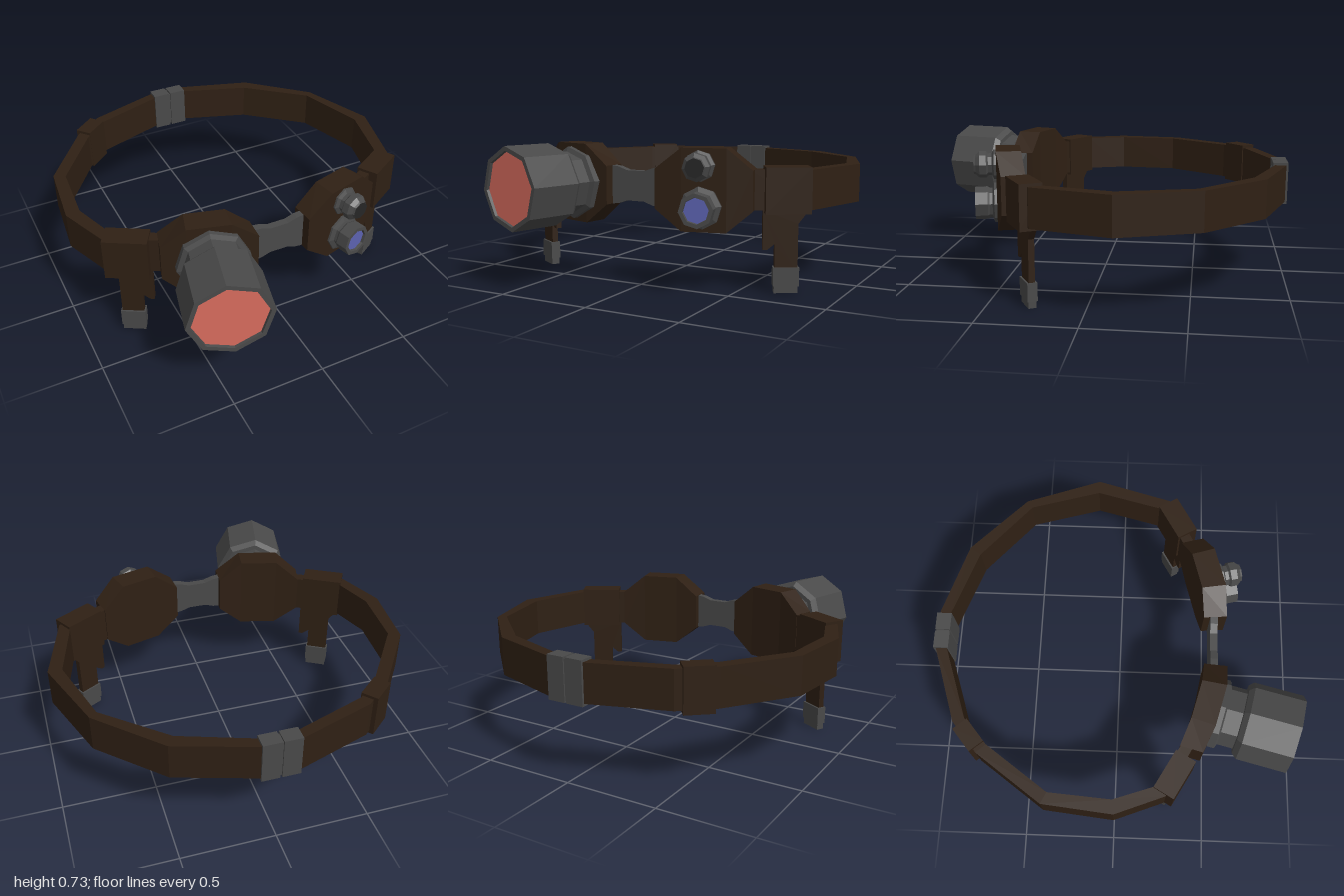
import * as THREE from 'three';

const mat = (color) => new THREE.MeshStandardMaterial({ color, flatShading: true });
const MID = 0.52; // height of the strap's centre line

function add(parent, name, geometry, material, x = 0, y = 0, z = 0) {
  const mesh = new THREE.Mesh(geometry, material);
  mesh.name = name;
  mesh.position.set(x, y, z);
  parent.add(mesh);
  return mesh;
}

// Rectangular sections [frontX, frontZ, backX, backZ, halfHeight], ordered towards +x
function loft(stations) {
  const rings = stations.map(([fx, fz, bx, bz, h]) => [
    [fx, h, fz], [bx, h, bz], [bx, -h, bz], [fx, -h, fz]]);
  const pos = [];
  const quad = (a, b, c, d) => [a, b, c, a, c, d].forEach((p) => pos.push(...p));
  for (let i = 0; i < rings.length - 1; i++) {
    for (let j = 0; j < 4; j++) {
      const k = (j + 1) % 4;
      quad(rings[i][j], rings[i + 1][j], rings[i + 1][k], rings[i][k]);
    }
  }
  quad(...rings[0]);
  const e = rings[rings.length - 1];
  quad(e[0], e[3], e[2], e[1]);
  const g = new THREE.BufferGeometry();
  g.setAttribute('position', new THREE.Float32BufferAttribute(pos, 3));
  g.computeVertexNormals();
  return g;
}

// Eight-sided turned part whose axis points along +z
function turned(profile, phi = 0) {
  const pts = profile.map(([r, d]) => new THREE.Vector2(r, d));
  return new THREE.LatheGeometry(pts, 8, phi).rotateX(Math.PI / 2);
}

const polygon = (pts) => new THREE.Shape(pts.map(([x, y]) => new THREE.Vector2(x, y)));

export function createModel() {
  const root = new THREE.Group();
  root.name = 'headband';
  const leather = mat(0x2f2014), metal = mat(0x494949), dark = mat(0x262626);
  const red = mat(0xd96c5e), blue = mat(0x5c62b0);

  // Faceted strap, open at the front
  const outer = [[-0.59, 0.405], [-0.86, 0.26], [-0.96, 0], [-0.92, -0.37], [-0.67, -0.72],
    [-0.51, -0.855], [-0.1, -0.99], [0.09, -0.99], [0.5, -0.86], [0.81, -0.56],
    [0.955, -0.15], [0.84, 0.26], [0.57, 0.405]];
  const inner = [[-0.57, 0.35], [-0.81, 0.21], [-0.885, -0.01], [-0.86, -0.34], [-0.625, -0.67],
    [-0.49, -0.795], [-0.1, -0.93], [0.09, -0.93], [0.46, -0.8], [0.77, -0.53],
    [0.88, -0.15], [0.785, 0.22], [0.55, 0.35]];
  const loop = [...outer, ...inner.reverse()].map(([x, z]) => [x, -z]);
  const strap = new THREE.ExtrudeGeometry(polygon(loop), { depth: 0.2, bevelEnabled: false });
  add(root, 'strap', strap.rotateX(-Math.PI / 2), leather, 0, MID - 0.1, 0);

  // Rear buckle halves and the strap slider
  for (const x of [-0.06, 0.045]) {
    add(root, 'rearBuckle', new THREE.BoxGeometry(0.095, 0.225, 0.08), metal, x, MID, -0.96);
  }
  add(root, 'buckleCore', new THREE.BoxGeometry(0.1, 0.205, 0.065), metal, -0.008, MID, -0.96);
  const slider = add(root, 'strapSlider', new THREE.BoxGeometry(0.15, 0.23, 0.09), leather, -0.582, MID, -0.765);
  slider.rotation.y = 0.7;

  // Front pair: pods, clips and legs mirrored about the bridge
  const front = new THREE.Group();
  front.name = 'frontAssembly';
  front.position.x = -0.012;
  root.add(front);

  add(front, 'bridge', loft([
    [-0.14, 0.53, -0.14, 0.49, 0.1], [-0.1, 0.53, -0.1, 0.49, 0.095], [-0.05, 0.53, -0.05, 0.49, 0.078],
    [0.05, 0.53, 0.05, 0.49, 0.078], [0.1, 0.53, 0.1, 0.49, 0.095], [0.14, 0.53, 0.14, 0.49, 0.1],
  ]), metal, 0, MID, 0);

  const podStations = [
    [0.143, 0.58, 0.133, 0.455, 0.1], [0.283, 0.563, 0.262, 0.435, 0.207],
    [0.5, 0.503, 0.462, 0.38, 0.207], [0.617, 0.45, 0.585, 0.33, 0.1]];
  const legOutline = [[0.112, 0.42], [0.058, 0.35], [0.058, 0.1], [-0.058, 0.1], [-0.058, 0.25],
    [-0.095, 0.22], [-0.118, 0.22], [-0.118, 0.42]];

  for (const s of [1, -1]) {
    const stations = podStations.map(([fx, fz, bx, bz, h]) => [s * fx, fz, s * bx, bz, h]);
    if (s < 0) stations.reverse();
    add(front, s > 0 ? 'leftPod' : 'rightPod', loft(stations), leather, 0, MID, 0);

    const clip = new THREE.Group();
    clip.name = s > 0 ? 'leftClip' : 'rightClip';
    clip.position.set(s * 0.737, 0, 0.305);
    clip.rotation.y = s * Math.PI / 6;
    front.add(clip);
    add(clip, 'clipSleeve', new THREE.BoxGeometry(0.225, 0.23, 0.118), leather, 0, MID, 0);
    const leg = new THREE.ExtrudeGeometry(polygon(legOutline.map(([x, y]) => [s * x, y])),
      { depth: 0.032, bevelEnabled: false });
    add(clip, 'leg', leg, leather, 0, 0, -0.029);
    add(clip, 'footCap', new THREE.BoxGeometry(0.13, 0.095, 0.052), metal, 0, 0.083, -0.013);
    add(clip, 'footTip', new THREE.BoxGeometry(0.12, 0.036, 0.042), metal, 0, 0.018, -0.013);
  }

  // A round housing on a pod with a flat lens in its mouth
  function lamp(name, x, y, z, angle, profile, lens, phi) {
    const g = new THREE.Group();
    g.name = name;
    g.position.set(x, y, z);
    g.rotation.y = angle;
    root.add(g);
    add(g, 'housing', turned(profile, phi), metal);
    const [r, d] = profile[profile.length - 1];
    add(g, 'lens', turned([[r, d], [0, d]], phi), lens);
  }

  // Large lamp on the right pod
  lamp('mainLamp', -0.375, MID, 0.49, -0.244, [
    [0, 0], [0.19, 0], [0.19, 0.075], [0.165, 0.085], [0.165, 0.17], [0.19, 0.172],
    [0.214, 0.2], [0.214, 0.47], [0.19, 0.47], [0.188, 0.455]], red, 0.1);

  // Two small lights on the left pod
  lamp('lowerLight', 0.36, 0.435, 0.515, 0.25, [
    [0, 0], [0.106, 0], [0.106, 0.035], [0.08, 0.045], [0.08, 0.06],
    [0.087, 0.07], [0.087, 0.135], [0.066, 0.135], [0.064, 0.12]], blue, 0.1);
  lamp('upperLight', 0.355, 0.64, 0.515, 0.25, [
    [0, 0], [0.078, 0], [0.078, 0.035], [0.058, 0.045], [0.058, 0.065],
    [0.07, 0.075], [0.07, 0.11], [0.052, 0.13], [0.048, 0.14]], dark, 0.1);

  return root;
}
